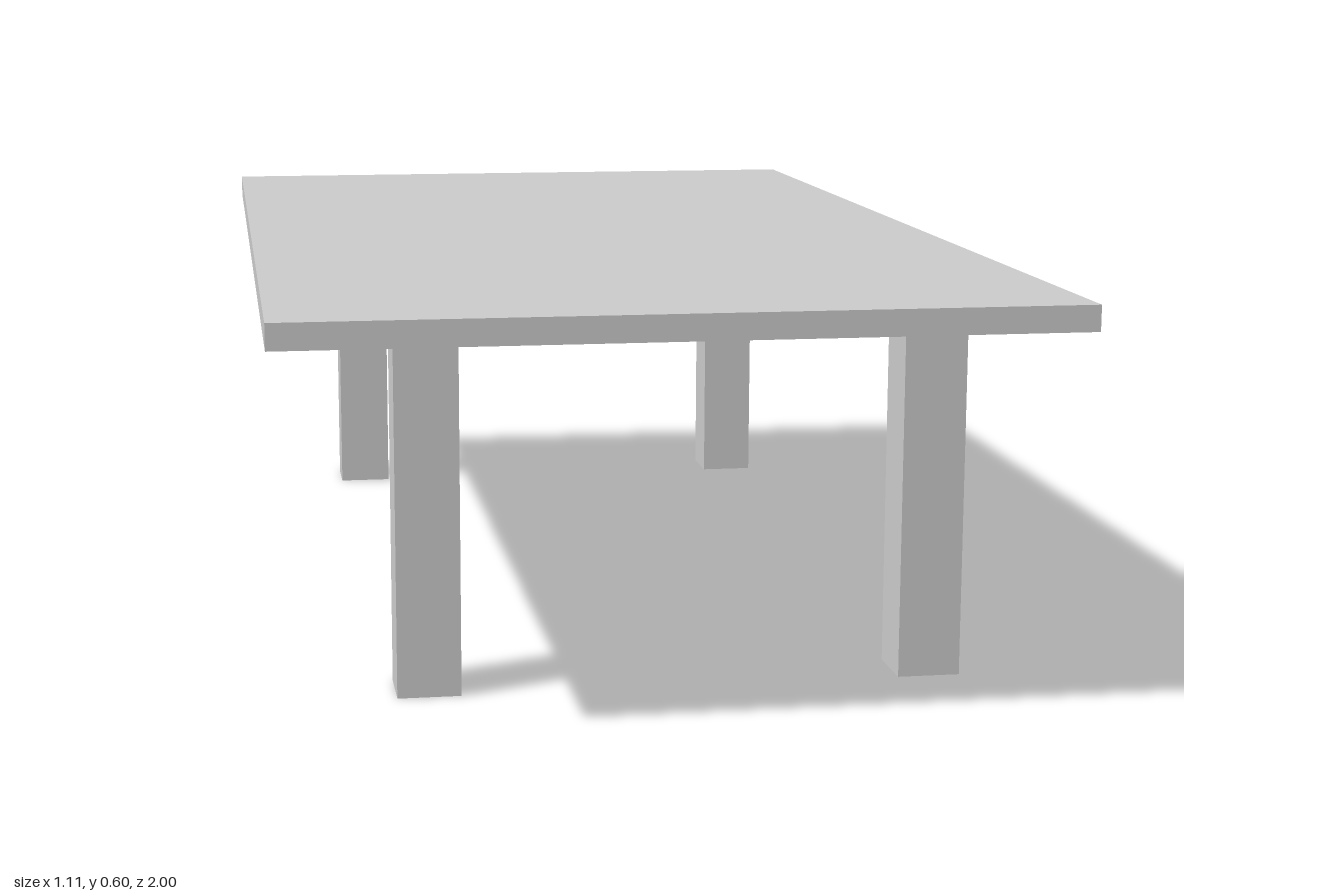
import * as THREE from 'three';

export function createModel() {
  const model = new THREE.Group();
  model.name = 'table';
  const material = new THREE.MeshStandardMaterial({ color: 0xcccccc, flatShading: true });

  const topY = 0.596, thickness = 0.037;
  const legHeight = topY - thickness, legWidth = 0.093;

  function addBox(name, size, position) {
    const mesh = new THREE.Mesh(new THREE.BoxGeometry(...size), material);
    mesh.name = name;
    mesh.position.set(...position);
    model.add(mesh);
  }

  // Thin rectangular top
  addBox('tabletop', [1.112, thickness, 2], [0, topY - thickness / 2, 0]);

  // Four square legs, set slightly off centre under the top
  for (const [side, x] of [['Left', 0.417], ['Right', -0.326]]) {
    for (const [end, z] of [['front', 0.66], ['back', -0.828]]) {
      addBox(`${end}${side}Leg`, [legWidth, legHeight, legWidth], [x, legHeight / 2, z]);
    }
  }

  return model;
}
